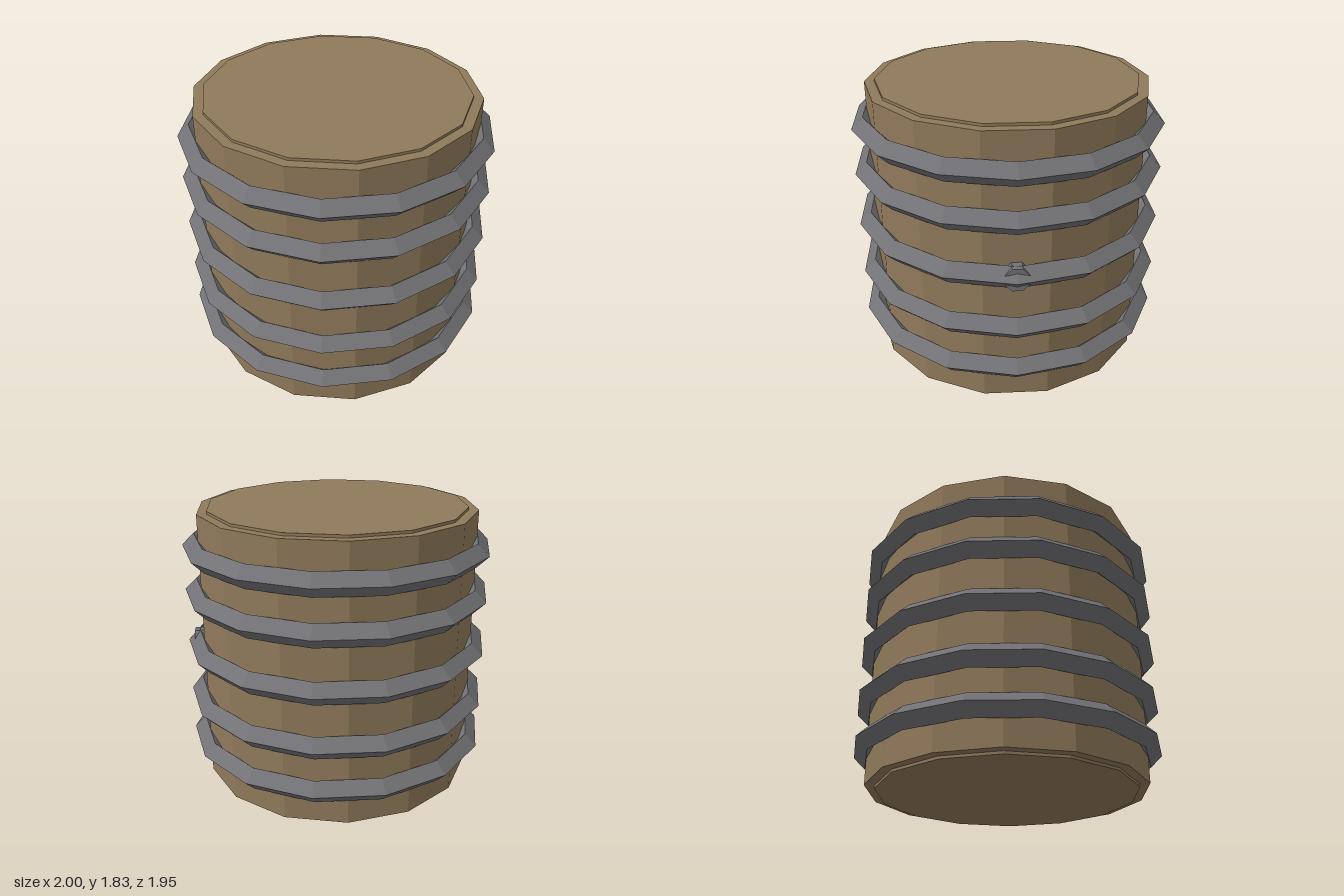
import * as THREE from 'three';

export function createModel() {
  const group = new THREE.Group();
  const wood = new THREE.MeshStandardMaterial({ color: 0x8f795a, flatShading: true });
  const metal = new THREE.MeshStandardMaterial({ color: 0x727276, flatShading: true });
  const SIDES = 14;
  const HEIGHT = 1.825;
  const MID = HEIGHT / 2;

  const add = (name, geometry, material, x, y) => {
    const mesh = new THREE.Mesh(geometry, material);
    mesh.name = name;
    mesh.position.set(x, y, 0);
    group.add(mesh);
    return mesh;
  };

  // Fourteen-sided stave wall
  add('barrelBody', new THREE.CylinderGeometry(0.9, 0.9, 1.79, SIDES), wood, 0, MID);

  // Slightly smaller heads, raised at both ends
  for (const [name, side] of [['topHead', 1], ['bottomHead', -1]]) {
    add(name, new THREE.CylinderGeometry(0.837, 0.837, 0.04, SIDES), wood, 0, MID + side * (MID - 0.02));
  }

  // Diamond-section hoops
  const hoop = new THREE.TorusGeometry(0.925, 0.075, 4, SIDES).rotateX(Math.PI / 2);
  [-0.6575, -0.3575, 0, 0.3575, 0.6575].forEach((offset, i) => {
    add(`hoop${i + 1}`, hoop, metal, 0, MID + offset);
  });

  // Octagonal bung, mostly sunk into the middle hoop
  const bung = new THREE.CylinderGeometry(0.08, 0.08, 0.1, 8)
    .rotateY(Math.PI / 8)
    .rotateZ(-Math.PI / 2);
  add('bung', bung, metal, 0.905, MID);

  return group;
}
